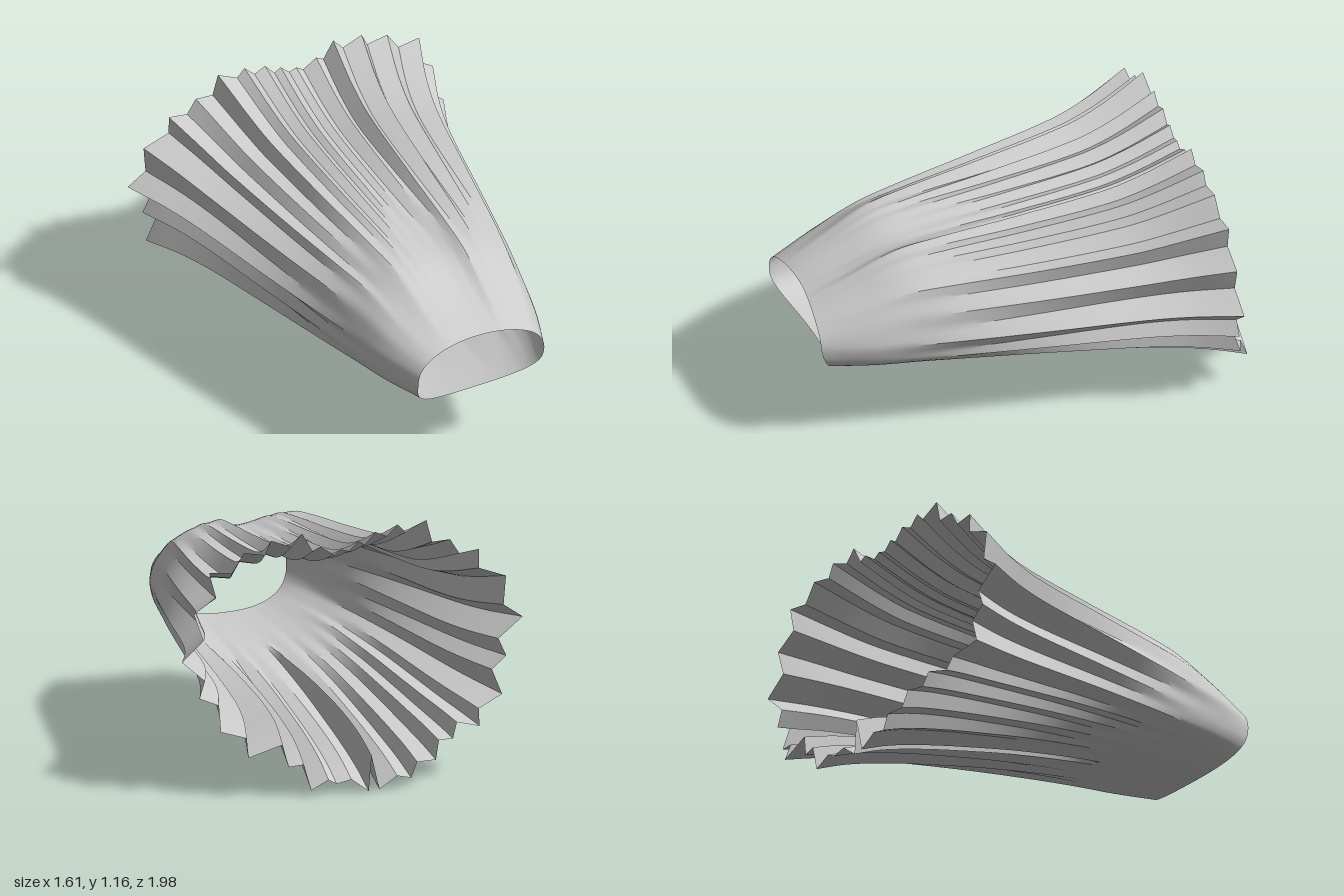
import * as THREE from 'three';
import { toCreasedNormals } from 'three/addons/utils/BufferGeometryUtils.js';

// Hem pleat crests, anticlockwise from the left side: x, y, depth of the fold that follows
const CRESTS = [
  [0.80, 0.62, 0.075], [0.74, 0.83, 0.07], [0.665, 1.015, 0.06], [0.50, 1.09, 0.05],
  [0.37, 1.135, 0.05], [0.225, 1.155, 0.06], [0.14, 1.09, 0.03], [0.04, 1.07, 0.025],
  [-0.04, 1.10, 0.035], [-0.12, 1.135, 0.04], [-0.225, 1.16, 0.045], [-0.36, 1.17, 0.06],
  [-0.47, 1.075, 0.05], [-0.605, 1.02, 0.06], [-0.73, 0.89, 0.06], [-0.805, 0.70, 0.075],
  [-0.725, 0.53, 0.06], [-0.70, 0.36, 0.05], [-0.57, 0.24, 0.07], [-0.435, 0.20, 0.05],
  [-0.34, 0.12, 0.045], [-0.22, 0.05, 0.03], [-0.07, 0.01, 0.16], [-0.02, 0.005, 0.035],
  [0.13, 0.05, 0.03], [0.25, 0.03, 0.06], [0.35, 0.14, 0.10], [0.53, 0.19, 0.06],
  [0.635, 0.30, 0.06], [0.72, 0.45, 0.06],
];

// How far each side has flared from waist (0) to hem (1) along the length
const FLARE = {
  side: [[0, 0], [0.11, 0.15], [0.22, 0.25], [0.33, 0.35], [0.55, 0.53], [0.78, 0.71], [0.89, 0.83], [1, 1]],
  top: [[0, 0], [0.1, 0.18], [0.22, 0.40], [0.33, 0.47], [0.55, 0.55], [0.78, 0.66], [0.88, 0.78], [1, 1]],
  bottom: [[0, 0], [0.27, 0.13], [0.5, 0.32], [0.7, 0.54], [0.82, 0.69], [0.92, 0.84], [1, 1]],
};

const smooth = (a, b, v) => THREE.MathUtils.smoothstep(v, a, b);

// Smooth curve through [t, value] points
function curveAt(points, t) {
  const last = points.length - 1;
  let i = 0;
  while (i < last - 1 && t > points[i + 1][0]) i++;
  const slope = (k) => {
    const a = points[Math.max(k - 1, 0)], b = points[Math.min(k + 1, last)];
    return (b[1] - a[1]) / (b[0] - a[0]);
  };
  const [t0, v0] = points[i], [t1, v1] = points[i + 1];
  const h = t1 - t0, u = (t - t0) / h, w = 1 - u;
  return v0 * w * w * (1 + 2 * u) + v1 * u * u * (3 - 2 * u) + h * u * w * (slope(i) * w - slope(i + 1) * u);
}

// Rounded oblong waist opening, leaning back towards the underside
function waistPoint(angle) {
  const c = Math.cos(angle), s = Math.sin(angle);
  const x = Math.sign(c) * Math.abs(c) ** 0.8 * 0.32;
  const y = 0.565 + Math.sign(s) * Math.abs(s) ** 0.8 * 0.17 - 0.04 * x;
  const low = Math.max(0, (0.6 - y) / 0.2);
  const z = 1 - 0.1 * low * low - 0.02 * (1 - smooth(0, 0.3, Math.abs(x))) * smooth(0.55, 0.7, y);
  return [x - 0.02, y, z];
}

// The hem hangs further back on its underside
const hemZ = (y) => -0.79 - 0.05 * (1.17 - y) - 0.135 * (1 - smooth(0.08, 0.4, y));

// A point on the unpleated envelope
function envelope(x, y, t) {
  const s = (y - 0.58) / 0.58;
  const w = waistPoint(Math.atan2(s, x / 0.8));
  const fSide = curveAt(FLARE.side, t);
  const fEnd = curveAt(s > 0 ? FLARE.top : FLARE.bottom, t);
  const fy = THREE.MathUtils.lerp(fSide, fEnd, smooth(0, 0.6, Math.abs(s)));
  return [
    w[0] + (x - w[0]) * fSide,
    w[1] + (y - w[1]) * fy,
    w[2] + (hemZ(y) - w[2]) * t,
  ];
}

function pleatedSurface(rows) {
  const n = CRESTS.length, steps = 3;
  const ring = n * 2 * steps;
  const pos = [], index = [];
  for (let r = 0; r <= rows; r++) {
    const t = r / rows;
    const line = [];
    CRESTS.forEach(([x, y, depth], i) => {
      const [nx, ny] = CRESTS[(i + 1) % n];
      line.push(envelope(x, y, t));
      // Fold between two crests, pushed inward more and more towards the hem
      const k = 0.5 + 0.12 * Math.sin(i * 2.3);
      const p = envelope(x + (nx - x) * k, y + (ny - y) * k, t);
      const cx = p[0] * 0.45, cy = 0.58 + (p[1] - 0.58) * 0.3;
      const len = Math.hypot(p[0] - cx, p[1] - cy);
      const start = 0.1 + 0.07 * (1 + Math.sin(i * 4.1));
      const d = depth * smooth(start, 1, t) ** 0.7;
      p[0] -= (p[0] - cx) / len * d;
      p[1] -= (p[1] - cy) / len * d;
      line.push(p);
    });
    // Rounded at the waist, straight-sided pleats at the hem
    const round = 1 - smooth(0, 0.45, t);
    line.forEach((p, i) => {
      const at = (k) => new THREE.Vector3(...line[(i + k + line.length) % line.length]);
      const a = at(0), b = at(1);
      const curve = new THREE.CatmullRomCurve3([at(-1), a, b, at(2)]);
      for (let k = 0; k < steps; k++) {
        const point = a.clone().lerp(b, k / steps);
        point.lerp(curve.getPoint((1 + k / steps) / 3), round);
        pos.push(point.x, point.y, point.z);
      }
    });
  }
  for (let r = 0; r < rows; r++) {
    for (let i = 0; i < ring; i++) {
      const a = r * ring + i, b = r * ring + (i + 1) % ring;
      index.push(a, a + ring, b, b, a + ring, b + ring);
    }
  }
  const geo = new THREE.BufferGeometry();
  geo.setAttribute('position', new THREE.Float32BufferAttribute(pos, 3));
  geo.setIndex(index);
  return toCreasedNormals(geo, 0.5);
}

export function createModel() {
  const group = new THREE.Group();
  const material = new THREE.MeshStandardMaterial({ color: 0xcccccc, side: THREE.DoubleSide });
  const skirt = new THREE.Mesh(pleatedSurface(48), material);
  skirt.name = 'pleatedSkirt';
  group.add(skirt);
  return group;
}
